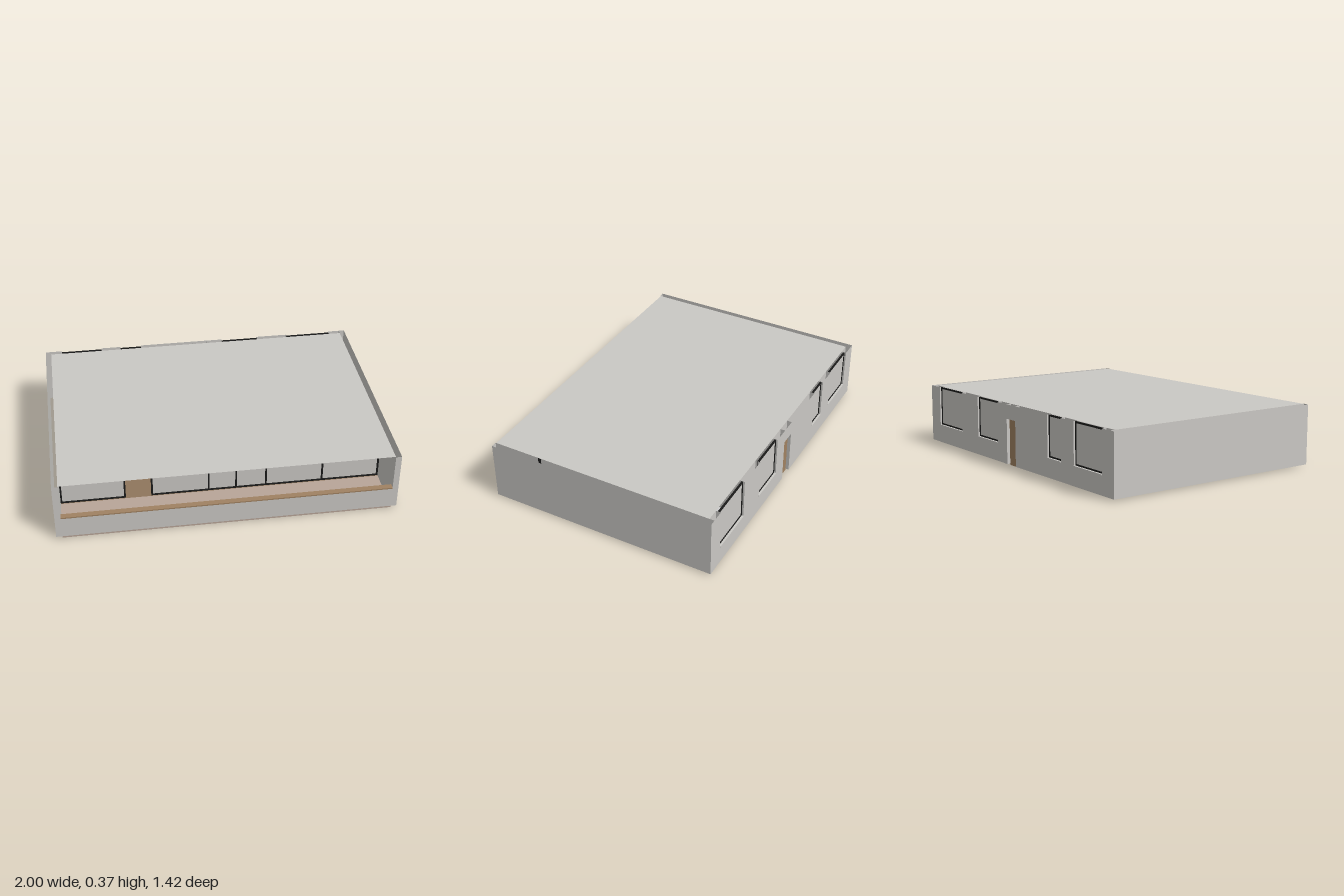
import * as THREE from 'three';

const mat = (name, color) => {
  const m = new THREE.MeshStandardMaterial({ color, side: THREE.DoubleSide });
  m.name = name;
  return m;
};

export function createModel() {
  const plaster = mat('plaster', 0xcac8c4);
  const wood = mat('wood', 0xa08262);
  const parquet = mat('parquet', 0x8f765c);
  const tile = mat('tile', 0xcbcbcb);
  const deck = mat('deck', 0xb8a598);
  const black = mat('frameBlack', 0x1b1b1a);

  const model = new THREE.Group();
  model.name = 'house';
  const TOP = 0.37, BASE = 0.01, IN = 0.965, BACK = -0.71, BACK_IN = -0.68;

  // Box given by its limits on each axis; hollow boxes have no top or bottom
  function box(name, material, [x0, x1], [y0, y1], [z0, z1], hollow = false, parent = model) {
    const g = new THREE.BoxGeometry(x1 - x0, y1 - y0, z1 - z0);
    if (hollow) {
      const idx = Array.from(g.index.array);
      g.clearGroups();
      g.setIndex([...idx.slice(0, 12), ...idx.slice(24)]);
    }
    g.translate((x0 + x1) / 2, (y0 + y1) / 2, (z0 + z1) / 2);
    const mesh = new THREE.Mesh(g, material);
    mesh.name = name;
    parent.add(mesh);
    return mesh;
  }

  // Floors
  box('livingFloor', parquet, [-IN, 0.47], [0, BASE], [-0.67, 0.42]);
  box('sideRoomFloor', parquet, [0.47, IN], [0, BASE], [-0.16, 0.42]);
  box('tiledFloor', tile, [0.47, IN], [0, BASE], [-0.67, -0.16]);
  box('balconyFloor', deck, [-IN, IN], [0, BASE], [0.42, 0.71]);

  // Roof sheet
  const roof = new THREE.Mesh(new THREE.PlaneGeometry(IN * 2, 1.385).rotateX(-Math.PI / 2), plaster);
  roof.name = 'roof';
  roof.position.set(0, TOP, 0.0125);
  model.add(roof);

  // Hollow side walls
  box('leftWall', plaster, [IN, 1], [BASE, TOP], [BACK, 0.71], true);
  box('rightWall', plaster, [-1, -IN], [BASE, TOP], [BACK, 0.71], true);

  // Balcony parapet with a wooden ledge
  box('parapet', plaster, [-IN, IN], [BASE, 0.14], [0.68, 0.71], true);
  box('ledge', wood, [-IN, IN], [0.14, 0.148], [0.678, 0.712]);

  // Back wall: piers between openings
  const windows = [[-0.895, -0.635], [-0.51, -0.375], [0.165, 0.4], [0.6, 0.89]];
  const door = [-0.035, 0.06];
  const openings = [...windows, door].sort((a, b) => a[0] - b[0]);
  let x = -IN;
  for (const [a, b] of [...openings, [IN, IN]]) {
    box('backWallPier', plaster, [x, a], [BASE, TOP], [BACK, BACK_IN], true);
    x = b;
  }

  // Windows: wall below, sill, black frame and pane
  const SILL = 0.125;
  for (const [a, b] of windows) {
    const w = new THREE.Group();
    w.name = 'window';
    model.add(w);
    box('wallBelowWindow', plaster, [a, b], [BASE, SILL - 0.006], [BACK, BACK_IN], true, w);
    box('sill', plaster, [a, b], [SILL - 0.006, SILL], [BACK - 0.003, BACK_IN], false, w);
    const z = [-0.7, -0.69], t = 0.009, top = TOP - 0.001;
    box('frameSide', black, [a, a + t], [SILL, top], z, false, w);
    box('frameSide', black, [b - t, b], [SILL, top], z, false, w);
    box('frameBottom', black, [a + t, b - t], [SILL, SILL + t], z, false, w);
    box('frameTop', black, [a + t, b - t], [top - t, top], z, false, w);
    box('pane', plaster, [a + t, b - t], [SILL + t, top - t], [-0.697, -0.693], false, w);
  }

  // Back door under a lintel
  box('lintel', plaster, door, [0.285, TOP], [BACK, BACK_IN], true);
  box('lintelSoffit', plaster, door, [0.283, 0.285], [BACK, BACK_IN]);
  box('backDoor', wood, door, [0.002, 0.283], [-0.69, -0.678]);

  // Balcony glazing: posts, rails and panes, with one bay left open
  const posts = [-0.96, -0.583, -0.42, -0.078, 0.088, 0.27, 0.615, 0.96];
  const t = 0.005, zf = [0.395, 0.415];
  posts.forEach((p, i) => {
    box('glazingPost', black, [p - t, p + t], [BASE, TOP - 0.001], zf);
    if (i === posts.length - 1) return;
    const span = [p + t, posts[i + 1] - t];
    box('glazingTopRail', black, span, [TOP - 0.009, TOP - 0.001], zf);
    if (i === 1) return;
    box('glazingBottomRail', black, span, [BASE, BASE + 0.008], zf);
    box('glazingPane', plaster, span, [BASE + 0.008, TOP - 0.009], [0.403, 0.408]);
  });

  // Interior partitions
  const h = [BASE, TOP - 0.002];
  const partitions = [
    [[0.075, 0.09], [-0.67, 0.395]],
    [[-0.075, -0.06], [-0.67, -0.02]],
    [[0.462, 0.477], [-0.67, -0.16]],
    [[0.477, 0.96], [-0.168, -0.153]],
    [[-0.41, -0.075], [-0.168, -0.153]],
    [[-0.96, -0.58], [-0.168, -0.153]],
    [[-0.565, -0.55], [-0.67, -0.25]],
  ];
  for (const [px, pz] of partitions) box('partition', plaster, px, h, pz);

  // Inner door standing open
  box('innerDoor', wood, [-0.577, -0.57], [BASE, 0.295], [-0.15, -0.02]);

  return model;
}
